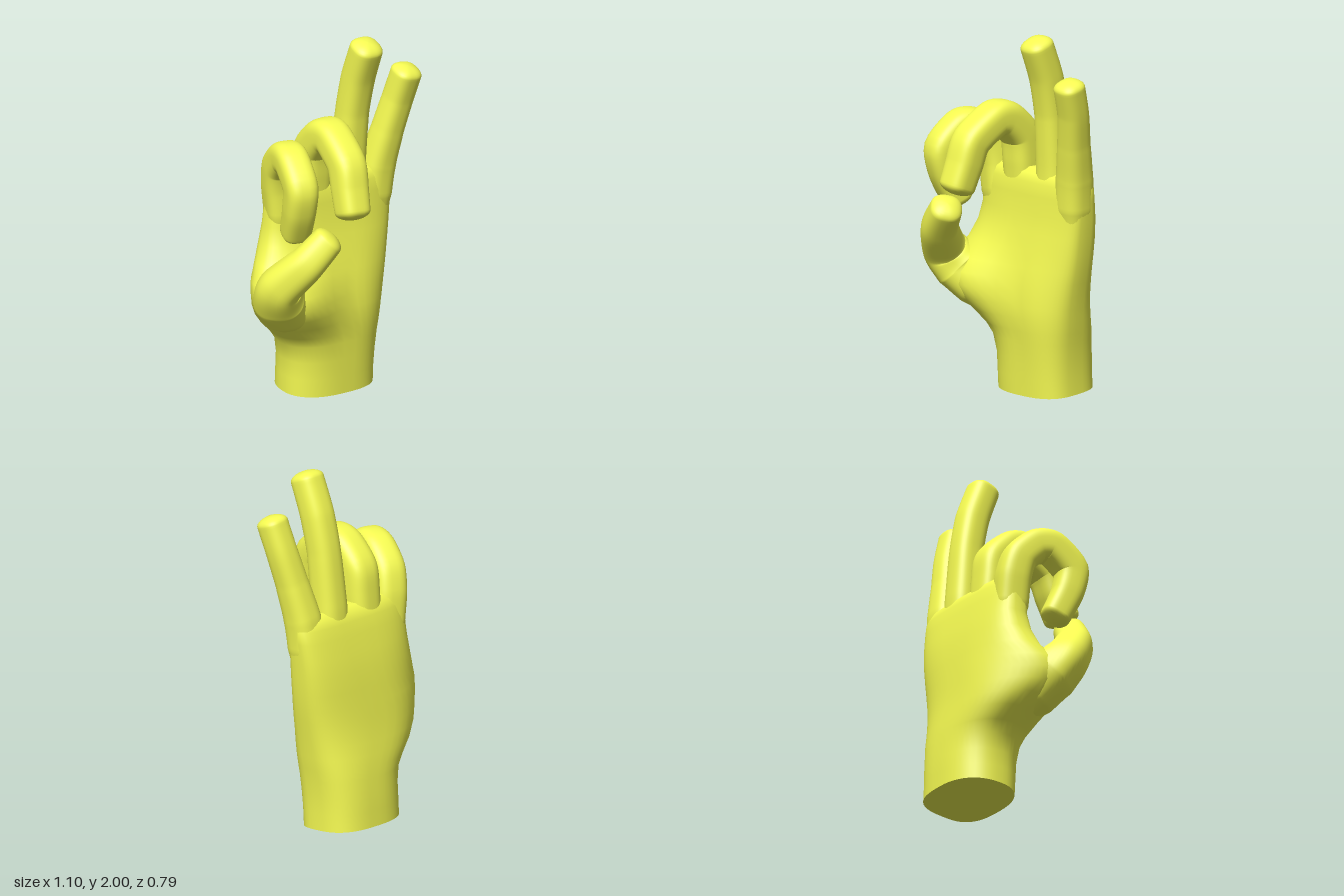
import * as THREE from 'three';

const SIDES = 48;
const skin = new THREE.MeshStandardMaterial({ color: 0xf6fb52 });

// Point on a superellipse: n = 2 is round, larger n is boxier
function superPoint(a, n) {
  const f = (v) => Math.sign(v) * Math.pow(Math.abs(v), 2 / n);
  return [f(Math.cos(a)), f(Math.sin(a))];
}

function makeRing(fn) {
  return Array.from({ length: SIDES }, (_, j) => fn((j / SIDES) * Math.PI * 2));
}

// Skin over a stack of closed rings
function loft(rings, name) {
  const index = [];
  for (let i = 0; i < rings.length - 1; i++) {
    for (let j = 0; j < SIDES; j++) {
      const k = (j + 1) % SIDES;
      const a = i * SIDES + j, b = i * SIDES + k;
      index.push(a, b, a + SIDES, b, b + SIDES, a + SIDES);
    }
  }
  const geo = new THREE.BufferGeometry().setFromPoints(rings.flat());
  geo.setIndex(index);
  geo.computeVertexNormals();
  const mesh = new THREE.Mesh(geo, skin);
  mesh.name = name;
  return mesh;
}

// Swept digit with a domed tip; each joint is [x, y, z, radius]
function digit(name, joints, ref, boxy) {
  const points = joints.map((p) => new THREE.Vector3(p[0], p[1], p[2]));
  const curve = new THREE.CatmullRomCurve3(points, false, 'catmullrom', 0.35);
  const rings = [];
  const axis = new THREE.Vector3(...ref);
  const addRing = (centre, tangent, r) => {
    const u = axis.clone().addScaledVector(tangent, -axis.dot(tangent)).normalize();
    const v = tangent.clone().cross(u);
    rings.push(makeRing((a) => {
      const [c, s] = superPoint(a, boxy);
      return centre.clone().addScaledVector(u, c * r).addScaledVector(v, s * r);
    }));
  };
  const steps = 48;
  for (let i = 0; i <= steps; i++) {
    const t = i / steps, s = t * (joints.length - 1);
    const k = Math.min(Math.floor(s), joints.length - 2);
    const r = THREE.MathUtils.lerp(joints[k][3], joints[k + 1][3], s - k);
    addRing(curve.getPoint(t), curve.getTangent(t), r);
  }
  const end = curve.getPoint(1), dir = curve.getTangent(1), r = joints.at(-1)[3];
  for (let i = 1; i <= 8; i++) {
    const a = (i / 8) * Math.PI / 2;
    addRing(end.clone().addScaledVector(dir, r * 0.55 * Math.sin(a)), dir, r * Math.cos(a));
  }
  return loft(rings, name);
}

// Soft muscle mounds on the palm side: [x, y, x spread, y spread, height]
const mounds = [
  [-0.28, 0.58, 0.18, 0.19, 0.11],
  [-0.09, 0.55, 0.09, 0.22, 0.025],
  [0.19, 0.5, 0.13, 0.26, 0.02],
];
const bell = (v, spread) => Math.exp(-((v / spread) ** 2));

// Wrist and palm; each section is [y, left x, right x, back z, front z, boxiness]
function palm() {
  const sections = [
    [0.0, -0.22, 0.315, -0.395, 0.01, 2.3],
    [0.1, -0.22, 0.315, -0.39, 0.015, 2.3],
    [0.2, -0.22, 0.32, -0.385, 0.02, 2.3],
    [0.3, -0.24, 0.33, -0.375, 0.025, 2.3],
    [0.36, -0.285, 0.34, -0.37, 0.03, 2.3],
    [0.43, -0.36, 0.35, -0.36, 0.035, 2.3],
    [0.5, -0.425, 0.36, -0.35, 0.035, 2.3],
    [0.57, -0.475, 0.372, -0.34, 0.03, 2.3],
    [0.64, -0.495, 0.384, -0.333, 0.025, 2.3],
    [0.71, -0.48, 0.397, -0.325, 0.015, 2.3],
    [0.8, -0.42, 0.41, -0.315, 0.0, 2.4],
    [0.9, -0.375, 0.422, -0.303, -0.015, 2.6],
    [1.0, -0.35, 0.432, -0.285, -0.03, 2.8],
    [1.1, -0.345, 0.442, -0.262, -0.033, 3],
    [1.17, -0.335, 0.448, -0.245, -0.04, 3],
    [1.215, -0.315, 0.43, -0.225, -0.055, 3],
    [1.24, -0.26, 0.36, -0.19, -0.09, 3],
  ];
  const rings = sections.map(([y, x0, x1, z0, z1, n]) => {
    const mid = z0 + (z1 - z0) * 0.55;
    const tilt = 0.08 * Math.max(0, 1 - y / 0.3);
    return makeRing((a) => {
      // The little finger side is squarer than the thumb side
      const [c, s] = superPoint(a, Math.sin(a) > 0 ? n + 0.6 : n);
      const x = (x0 + x1) / 2 + s * (x1 - x0) / 2;
      let z = mid + c * (c > 0 ? z1 - mid : mid - z0);
      // The thumb side curls forward and the mounds swell the front
      z += 0.12 * bell(y - 0.62, 0.2) * (Math.max(0, -x - 0.1) / 0.4) ** 2;
      for (const [mx, my, sx, sy, h] of mounds) {
        z += h * Math.max(0, c) * bell(x - mx, sx) * bell(y - my, sy);
      }
      return new THREE.Vector3(x, y + tilt * (0.01 - z), z);
    });
  });
  // Flat wrist cut with a sharp rim, and a closed top
  const centre = (ring) => {
    const c = new THREE.Vector3();
    ring.forEach((p) => c.addScaledVector(p, 1 / SIDES));
    return ring.map(() => c.clone());
  };
  const rim = rings[0].map((p) => p.clone());
  return loft([centre(rim), rim, ...rings, centre(rings.at(-1))], 'palm');
}

export function createModel() {
  const hand = new THREE.Group();
  hand.name = 'hand';
  const across = [1, 0, 0];

  hand.add(
    palm(),

    // Straight fingers, their roots tapering into the palm
    digit('littleFinger', [
      [0.335, 0.8, -0.15, 0.06], [0.345, 1.05, -0.135, 0.094], [0.363, 1.22, -0.12, 0.094],
      [0.402, 1.42, -0.08, 0.083], [0.44, 1.6, -0.04, 0.079], [0.462, 1.755, 0.008, 0.079],
    ], across, 2.6),
    digit('ringFinger', [
      [0.18, 0.85, -0.16, 0.06], [0.18, 1.08, -0.145, 0.095], [0.181, 1.26, -0.138, 0.091],
      [0.19, 1.55, -0.11, 0.085], [0.198, 1.76, -0.065, 0.086], [0.202, 1.945, 0.006, 0.084],
    ], across, 2.6),

    // Curled fingers
    digit('middleFinger', [
      [-0.06, 0.85, -0.16, 0.06], [-0.06, 1.08, -0.145, 0.095], [-0.06, 1.26, -0.13, 0.098],
      [-0.06, 1.4, -0.11, 0.098], [-0.063, 1.5, -0.01, 0.097], [-0.066, 1.512, 0.075, 0.096],
      [-0.08, 1.41, 0.225, 0.096], [-0.09, 1.285, 0.27, 0.093], [-0.1, 1.17, 0.31, 0.088],
    ], across, 2.9),
    digit('indexFinger', [
      [-0.235, 0.84, -0.15, 0.06], [-0.25, 1.06, -0.14, 0.092], [-0.268, 1.22, -0.135, 0.094],
      [-0.285, 1.34, -0.105, 0.093], [-0.308, 1.425, -0.015, 0.091], [-0.332, 1.43, 0.075, 0.09],
      [-0.355, 1.32, 0.187, 0.09], [-0.35, 1.18, 0.165, 0.086], [-0.33, 1.04, 0.105, 0.08],
    ], [1, 0, 0.25], 2.9),

    // Thumb, bent towards the index finger
    digit('thumb', [
      [-0.2, 0.44, -0.1, 0.08], [-0.3, 0.55, -0.025, 0.13], [-0.39, 0.65, 0.035, 0.14],
      [-0.425, 0.745, 0.105, 0.118], [-0.34, 0.89, 0.22, 0.1], [-0.235, 1.015, 0.268, 0.087],
    ], [1, 0, -1], 2.5),
  );
  return hand;
}
